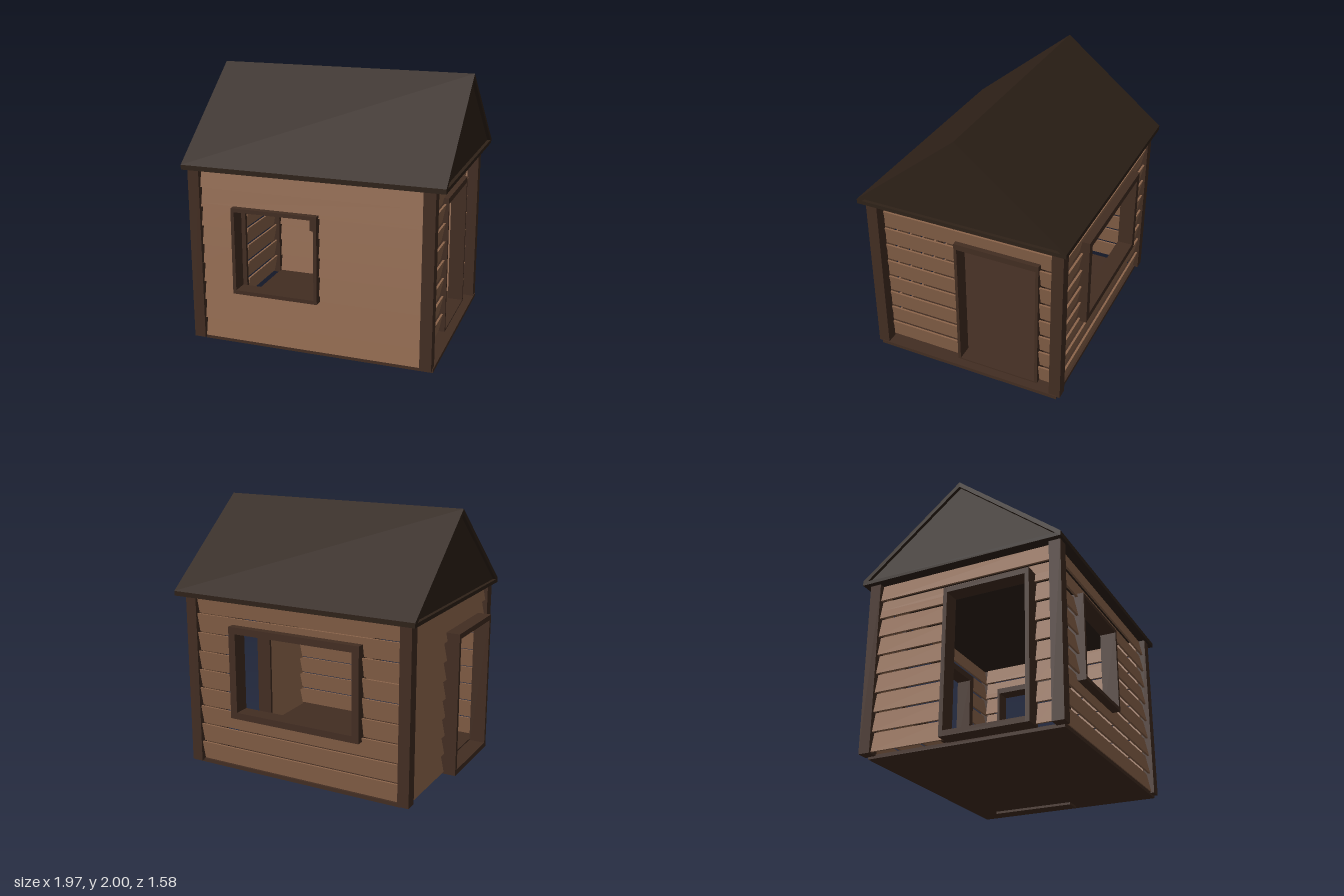
import * as THREE from 'three';

const siding = new THREE.MeshStandardMaterial({ color: 0x8c654b });
const trim = new THREE.MeshStandardMaterial({ color: 0x422d22 });
const roofing = new THREE.MeshStandardMaterial({ color: 0x2e2118, side: THREE.DoubleSide });

const BASE = 0.045, TOP = 1.345, BOARDS = 9;

// Box given by its minimum and maximum corners
function box(name, [x0, y0, z0], [x1, y1, z1], material = trim) {
  const mesh = new THREE.Mesh(new THREE.BoxGeometry(x1 - x0, y1 - y0, z1 - z0), material);
  mesh.position.set((x0 + x1) / 2, (y0 + y1) / 2, (z0 + z1) / 2);
  mesh.name = name;
  return mesh;
}

// Piece of one slanted board; lean(y) is its outward offset
function boardPiece(x0, x1, y0, y1, lean) {
  const t = 0.008;
  const section = new THREE.Shape([
    new THREE.Vector2(-lean(y0) - t, y0),
    new THREE.Vector2(-lean(y0) + t, y0),
    new THREE.Vector2(-lean(y1) + t, y1),
    new THREE.Vector2(-lean(y1) - t, y1),
  ]);
  const geometry = new THREE.ExtrudeGeometry(section, { depth: x1 - x0, bevelEnabled: false });
  geometry.rotateY(Math.PI / 2).translate(x0, 0, 0);
  const mesh = new THREE.Mesh(geometry, siding);
  mesh.name = 'sidingBoard';
  return mesh;
}

// Clapboard wall facing local +z, with one framed opening
function wall({ name, turn, dist, x0, x1, tilt, open, frame }) {
  const group = new THREE.Group();
  group.name = name;
  const step = (TOP - BASE) / BOARDS;
  const [ox0, oy0, ox1, oy1] = open;
  for (let i = 0; i < BOARDS; i++) {
    const bottom = BASE + i * step, top = bottom + step;
    const lean = (y) => dist + tilt * (0.5 - (y - bottom) / step);
    // Cut the board where the opening starts or ends
    const cuts = [bottom, ...[oy0, oy1].filter((y) => y > bottom && y < top), top];
    for (let k = 0; k < cuts.length - 1; k++) {
      const a = cuts[k], b = cuts[k + 1], mid = (a + b) / 2;
      if (mid > oy0 && mid < oy1) {
        group.add(boardPiece(x0, ox0, a, b, lean), boardPiece(ox1, x1, a, b, lean));
      } else {
        group.add(boardPiece(x0, x1, a, b, lean));
      }
    }
  }
  // Frame of the opening: side, head and sill widths, depth range
  const { side, head, sill, back, front } = frame;
  group.add(
    box('frameSide', [ox0, oy0, back], [ox0 + side, oy1, front]),
    box('frameSide', [ox1 - side, oy0, back], [ox1, oy1, front]),
    box('frameHead', [ox0 + side, oy1 - head, back], [ox1 - side, oy1, front]),
    box('frameSill', [ox0 + side, oy0, back], [ox1 - side, oy0 + sill, front]),
  );
  group.rotation.y = turn;
  return group;
}

function roof() {
  const group = new THREE.Group();
  group.name = 'roof';
  const x0 = -0.95, x1 = 0.985;
  const points = (list) => list.map(([z, y]) => new THREE.Vector2(z, y));
  const along = (shape, from, to) =>
    new THREE.ExtrudeGeometry(shape, { depth: to - from, bevelEnabled: false })
      .rotateY(Math.PI / 2).translate(from, 0, 0);

  // Both slopes and the ceiling as one hollow profile
  const shell = new THREE.Shape(points([[-0.79, 1.33], [0.79, 1.33], [0.79, 1.365], [0, 2], [-0.79, 1.365]]));
  const hollow = points([[-0.75, 1.358], [0, 1.962], [0.75, 1.358]]);
  shell.holes.push(new THREE.Path(hollow));
  const slopes = new THREE.Mesh(along(shell, x0, x1), roofing);
  slopes.name = 'roofSlopes';
  group.add(slopes);

  // Gable panels, set back from the rims
  const panel = new THREE.Shape(hollow);
  for (const x of [x0 + 0.025, x1 - 0.045]) {
    const gable = new THREE.Mesh(along(panel, x, x + 0.02), roofing);
    gable.name = 'gable';
    group.add(gable);
  }
  return group;
}

export function createModel() {
  const model = new THREE.Group();
  model.name = 'playhouse';

  model.add(box('floor', [-0.83, 0.018, -0.72], [0.92, BASE, 0.74]));

  // Corner posts
  for (const x of [-0.867, 0.871]) {
    for (const z of [-0.703, 0.727]) {
      model.add(box('cornerPost', [x - 0.043, 0.035, z - 0.043], [x + 0.043, 1.335, z + 0.043]));
    }
  }

  // Front wall with the small window
  model.add(wall({
    name: 'frontWall', turn: 0, dist: 0.725, x0: -0.84, x1: 0.84, tilt: 0.03,
    open: [-0.57, 0.43, 0.08, 1.08],
    frame: { side: 0.025, head: 0.028, sill: 0.028, back: 0.67, front: 0.79 },
  }));

  // Back wall with the wide window
  model.add(wall({
    name: 'backWall', turn: Math.PI, dist: 0.71, x0: -0.84, x1: 0.84, tilt: -0.03,
    open: [-0.52, 0.45, 0.54, 1.15],
    frame: { side: 0.055, head: 0.05, sill: 0.05, back: 0.66, front: 0.78 },
  }));

  // Side wall at +x with its doorway
  model.add(wall({
    name: 'leftWall', turn: Math.PI / 2, dist: 0.815, x0: -0.7, x1: 0.68, tilt: -0.03,
    open: [-0.11, 0, 0.54, 1.1],
    frame: { side: 0.022, head: 0.045, sill: 0.055, back: 0.735, front: 0.855 },
  }));

  // Side wall at -x with its doorway
  model.add(wall({
    name: 'rightWall', turn: -Math.PI / 2, dist: 0.87, x0: -0.68, x1: 0.7, tilt: 0.03,
    open: [-0.08, 0.03, 0.57, 1.12],
    frame: { side: 0.03, head: 0.04, sill: 0.04, back: 0.86, front: 0.985 },
  }));

  model.add(roof());
  return model;
}
